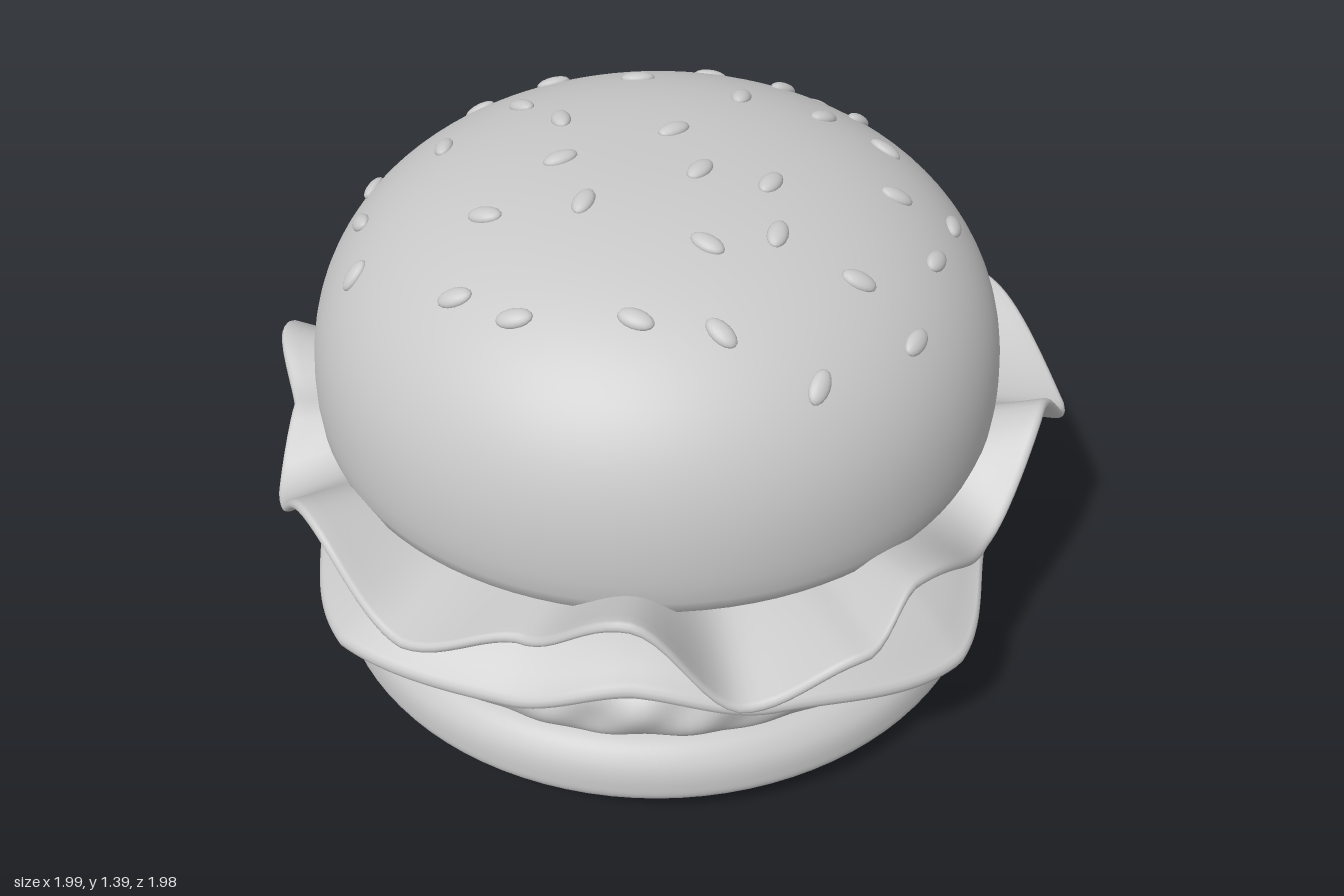
import * as THREE from 'three';

const CX = -0.035, CZ = 0.015; // bun axis
const TAU = Math.PI * 2;

// Lettuce rim: [degrees from +x towards +z, radius, height]
const LETTUCE = [
  [10, 0.92, 0.77], [28, 0.88, 0.56], [52, 0.95, 0.73], [62, 1.02, 0.65], [77, 1.0, 0.55],
  [92, 0.98, 0.78], [108, 0.92, 0.63], [123, 1.01, 0.57], [142, 1.01, 0.74], [160, 1.0, 0.55],
  [171, 0.94, 0.68], [182, 0.99, 0.77], [199, 1.01, 0.57], [209, 1.02, 0.62], [220, 1.04, 0.57],
  [238, 0.94, 0.76], [256, 0.95, 0.56], [277, 1.0, 0.79], [290, 0.97, 0.61], [302, 0.9, 0.69],
  [317, 0.93, 0.56], [334, 0.92, 0.75], [356, 1.0, 0.6],
];
// Cheese rim: corners droop, sides rise
const CHEESE = [
  [0, 0.835, 0.48], [18, 0.865, 0.41], [38, 0.96, 0.36], [68, 0.885, 0.41], [90, 0.845, 0.46],
  [110, 0.88, 0.4], [135, 0.98, 0.43], [160, 0.87, 0.44], [178, 0.835, 0.46], [200, 0.87, 0.42],
  [225, 0.97, 0.36], [250, 0.88, 0.41], [270, 0.835, 0.46], [290, 0.87, 0.42], [315, 0.985, 0.37],
  [341, 0.865, 0.42],
];
// Seeds: x, z, turn in degrees
const SEEDS = [
  [0.06, -0.61, 0], [0.34, -0.58, 30], [0.25, -0.48, -50], [0.44, -0.4, -55], [-0.11, -0.39, -5],
  [-0.33, -0.46, -15], [-0.52, -0.45, 0], [-0.38, -0.24, 45], [0.15, -0.28, -80], [0.35, -0.26, -45],
  [0.5, -0.2, 20], [-0.55, -0.1, 85], [-0.27, -0.12, 75], [-0.74, -0.14, -75], [0, -0.06, -40],
  [0.66, -0.01, -85], [0.52, 0.03, -5], [0.23, 0.13, -65], [0.07, 0.11, -60], [-0.25, 0.07, -30],
  [-0.73, 0.06, 55], [-0.71, 0.25, -30], [-0.4, 0.25, 15], [-0.18, 0.24, -75], [0.61, 0.18, -65],
  [0.56, 0.42, -65], [0.43, 0.36, 5], [0.25, 0.3, -80], [0.1, 0.36, 30], [-0.44, 0.46, 0],
  [-0.3, 0.54, 0], [-0.04, 0.56, 20], [0.14, 0.57, 40], [0.35, 0.61, -80],
];

// Smooth periodic lookup in a rim table
function rimAt(table, angle) {
  const deg = ((angle * 360 / TAU) % 360 + 360) % 360;
  const n = table.length;
  let k = table.findIndex(row => row[0] > deg);
  if (k < 0) k = n;
  const a = table[(k + n - 1) % n], b = table[k % n];
  const span = (b[0] - a[0] + 360) % 360;
  const t = ((deg - a[0] + 360) % 360) / span;
  const s = (1 - Math.cos(Math.PI * t)) / 2;
  return [a[1] + (b[1] - a[1]) * (s + t) / 2, a[2] + (b[2] - a[2]) * s];
}

// Sweeps profile(angle) -> [[r, y], ...] (bottom to top) around the y axis
function ringSolid(profile, segments) {
  const pos = [], idx = [];
  let m = 0;
  for (let i = 0; i < segments; i++) {
    const a = i / segments * TAU, pts = profile(a);
    m = pts.length;
    for (const [r, y] of pts) pos.push(r * Math.cos(a), y, r * Math.sin(a));
  }
  for (let i = 0; i < segments; i++) {
    const n = (i + 1) % segments;
    for (let j = 0; j < m - 1; j++) {
      const a = i * m + j, b = n * m + j;
      idx.push(a, a + 1, b, b, a + 1, b + 1);
    }
  }
  const geo = new THREE.BufferGeometry();
  geo.setAttribute('position', new THREE.Float32BufferAttribute(pos, 3));
  geo.setIndex(idx);
  geo.computeVertexNormals();
  return geo;
}

// Thin rounded sheet that runs from a flat middle to a wavy rim
function sheet(table, innerR, baseY, thick, power) {
  const steps = 14, h = thick / 2;
  return ringSolid(angle => {
    const [R, Y] = rimAt(table, angle);
    const at = (t, off) => [innerR + (R - h - innerR) * t, baseY + (Y - baseY) * t ** power + off];
    const pts = [[0.01, baseY - h]];
    for (let i = 0; i <= steps; i++) pts.push(at(i / steps, -h));
    for (let i = 1; i < 6; i++) {
      const q = -Math.PI / 2 + i * Math.PI / 6;
      const [r] = at(1, 0);
      pts.push([r + h * Math.cos(q), Y + h * Math.sin(q)]);
    }
    for (let i = steps; i >= 0; i--) pts.push(at(i / steps, h));
    pts.push([0.01, baseY + h]);
    return pts;
  }, 240);
}

// Softly bumpy patty
function pattyGeometry() {
  return ringSolid(a => {
    const pts = [[0.01, 0.255]];
    for (let i = 0; i <= 22; i++) {
      const q = -Math.PI / 2 + i / 22 * Math.PI;
      const c = Math.max(0, Math.cos(q)) ** 0.7, s = Math.sin(q);
      const bump = 0.006 * Math.sin(29 * a + 3 * s) + 0.004 * Math.sin(17 * a - 4 * s + 1);
      pts.push([0.71 + 0.12 * c + bump * c, 0.357 + 0.1 * s + bump * c * 0.4]);
    }
    pts.push([0.01, 0.46]);
    return pts;
  }, 200);
}

function lathe(points) {
  return new THREE.LatheGeometry(points.map(([x, y]) => new THREE.Vector2(x, y)), 96);
}

// Smooth profile through a few points
function smoothLathe(points) {
  const curve = new THREE.SplineCurve(points.map(([x, y]) => new THREE.Vector2(x, y)));
  return new THREE.LatheGeometry(curve.getPoints(60).map(p => p.setX(Math.max(0, p.x))), 96);
}

// Crown: full, slightly squared dome above a short rounded base
const DOME_R = 0.835, DOME_Y = 0.78, DOME_H = 0.597, DOME_N = 2.4;
function crownGeometry() {
  const pts = [[0, 0.665], [0.4, 0.665], [0.76, 0.665], [0.795, 0.672], [0.82, 0.695], [0.831, 0.73]];
  for (let i = 0; i <= 40; i++) {
    const q = i / 40 * Math.PI / 2;
    const c = i === 40 ? 0 : Math.cos(q) ** (2 / DOME_N);
    pts.push([DOME_R * c, DOME_Y + DOME_H * Math.sin(q) ** (2 / DOME_N)]);
  }
  return lathe(pts);
}

// Disc with rounded rim
function sliceGeometry(r, y, h) {
  const pts = [[0, y], [r - h, y]];
  for (let i = 0; i <= 8; i++) {
    const q = -Math.PI / 2 + i * Math.PI / 8;
    pts.push([r - h / 2 + h / 2 * Math.cos(q), y + h / 2 + h / 2 * Math.sin(q)]);
  }
  pts.push([r - h, y + h], [0, y + h]);
  return lathe(pts);
}

export function createModel() {
  const group = new THREE.Group();
  group.name = 'burger';
  const clay = new THREE.MeshStandardMaterial({ color: 0xc8c8c8 });
  clay.name = 'plain grey';

  const add = (name, geo, x = CX, z = CZ, parent = group) => {
    const mesh = new THREE.Mesh(geo, clay);
    mesh.name = name;
    mesh.position.set(x, 0, z);
    parent.add(mesh);
    return mesh;
  };

  // Buns and fillings
  add('bottomBun', smoothLathe([[0, 0], [0.3, 0.004], [0.56, 0.012], [0.75, 0.045], [0.832, 0.1],
    [0.845, 0.15], [0.83, 0.21], [0.775, 0.255], [0.65, 0.268], [0.3, 0.27], [0, 0.27]]));
  add('patty', pattyGeometry());
  add('cheeseSlice', sheet(CHEESE, 0.45, 0.55, 0.045, 2.4));
  add('lowerTomatoSlice', sliceGeometry(0.74, 0.568, 0.055), -0.04, 0.01);
  add('upperTomatoSlice', sliceGeometry(0.7, 0.62, 0.045), -0.02, 0.02);
  add('lettuceLeaf', sheet(LETTUCE, 0.58, 0.66, 0.03, 1.15), 0, 0);
  add('topBun', crownGeometry());

  // Sesame seeds lying on the crown
  const seeds = new THREE.Group();
  seeds.name = 'sesameSeeds';
  group.add(seeds);
  const seedGeo = new THREE.SphereGeometry(1, 16, 10).scale(0.042, 0.016, 0.024);
  const up = new THREE.Vector3(0, 1, 0);
  for (const [x, z, turn] of SEEDS) {
    const dx = x - CX, dz = z - CZ, d = Math.hypot(dx, dz);
    const u = d / DOME_R, v = (1 - u ** DOME_N) ** (1 / DOME_N);
    const out = u ** (DOME_N - 1) / DOME_R / d;
    const normal = new THREE.Vector3(dx * out, v ** (DOME_N - 1) / DOME_H, dz * out).normalize();
    const seed = add('seed', seedGeo, x, z, seeds);
    seed.position.y = DOME_Y + DOME_H * v;
    seed.quaternion.setFromUnitVectors(up, normal)
      .multiply(new THREE.Quaternion().setFromAxisAngle(up, -turn * TAU / 360));
  }
  return group;
}
